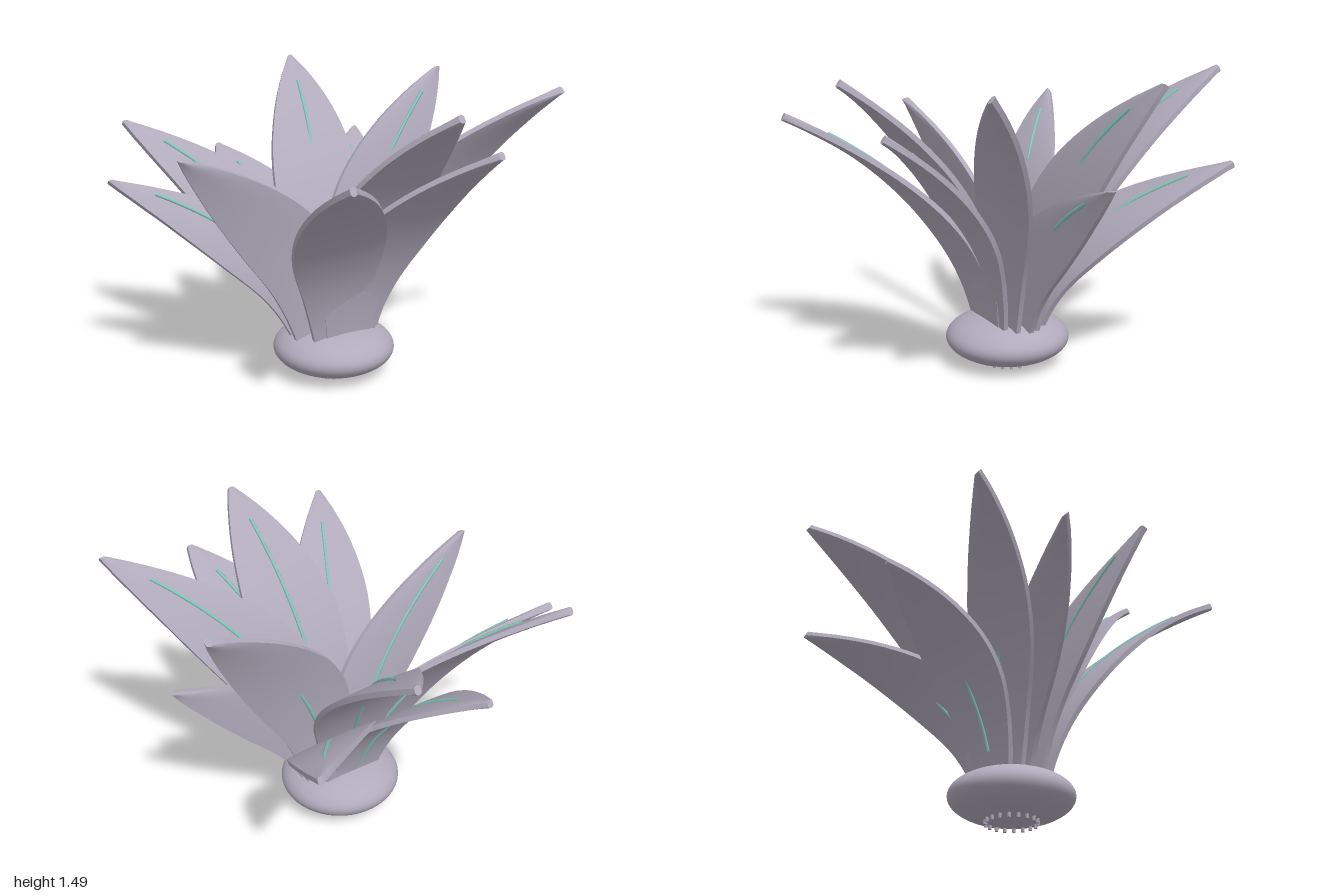
import * as THREE from 'three';
import { toCreasedNormals } from 'three/addons/utils/BufferGeometryUtils.js';

const CENTRE = new THREE.Vector3(0.035, 0, 0.04);
const LEAVES = 12, GOLDEN = THREE.MathUtils.degToRad(137.5);
const SIDE = new THREE.Vector3(1, 0, 0); // every blade spreads along x

// half width of a blade from base to tip
const WIDTH = new THREE.CatmullRomCurve3(
  [[0, 0.12], [0.2, 0.18], [0.42, 0.245], [0.6, 0.24], [0.78, 0.175], [0.92, 0.085], [1, 0.015]]
    .map(([t, w]) => new THREE.Vector3(t, w, 0)));
const widthAt = (t) => {
  let lo = 0, hi = 1;
  for (let k = 0; k < 20; k++) {
    const m = (lo + hi) / 2;
    if (WIDTH.getPoint(m).x < t) lo = m; else hi = m;
  }
  return WIDTH.getPoint(lo).y;
};

// arching centre line that leaves the bulb steeply and bends outward
function leafCurve(angle, reach, height) {
  const at = (r, y) => new THREE.Vector3(Math.cos(angle) * r, y, Math.sin(angle) * r).add(CENTRE);
  return new THREE.QuadraticBezierCurve3(
    at(0.115, 0.21), at(0.2, 0.22 + 0.62 * (height - 0.22)), at(reach, height));
}

const faceNormal = (curve, t) => SIDE.clone().cross(curve.getTangent(t)).normalize();

// blade swept along the curve with a thin lens section and blunt edges
function bladeGeometry(curve) {
  const rows = 28, across = 8, section = [];
  for (let k = 0; k <= across; k++) {
    const u = 1 - (2 * k) / across;
    section.push([u, 0.012 + 0.008 * (1 - u * u)]);
  }
  for (let k = across; k >= 0; k--) section.push([section[k][0], -section[k][1]]);
  const n = section.length, pos = [], index = [];
  for (let i = 0; i <= rows; i++) {
    const t = i / rows, c = curve.getPoint(t), w = widthAt(t), normal = faceNormal(curve, t);
    for (const [u, h] of section) {
      const p = c.clone().addScaledVector(SIDE, u * w).addScaledVector(normal, h);
      pos.push(p.x, p.y, p.z);
    }
  }
  for (let i = 0; i < rows; i++) {
    for (let j = 0; j < n; j++) {
      const a = i * n + j, b = i * n + (j + 1) % n;
      index.push(a, a + n, b, b, a + n, b + n);
    }
  }
  // end caps
  const last = rows * n;
  for (let j = 1; j < n - 1; j++) {
    index.push(0, j, j + 1);
    index.push(last, last + j + 1, last + j);
  }
  const geo = new THREE.BufferGeometry();
  geo.setAttribute('position', new THREE.Float32BufferAttribute(pos, 3));
  geo.setIndex(index);
  return toCreasedNormals(geo, 0.7);
}

// slim rib; on the rear leaves it passes through the blade from back to front
function ribGeometry(curve, rear) {
  const pts = [];
  for (let k = 0; k <= 14; k++) {
    const t = 0.12 + (0.76 * k) / 14;
    const off = rear ? THREE.MathUtils.lerp(-0.022, 0.022, THREE.MathUtils.smoothstep(t, 0.35, 0.75)) : -0.02;
    pts.push(curve.getPoint(t).addScaledVector(faceNormal(curve, t), off));
  }
  return new THREE.TubeGeometry(new THREE.CatmullRomCurve3(pts), 32, 0.009, 6);
}

export function createModel() {
  const model = new THREE.Group();
  const skin = new THREE.MeshStandardMaterial({ color: 0xb0aabb });
  skin.name = 'lavender grey';
  const teal = new THREE.MeshStandardMaterial({ color: 0x86c8bc });
  teal.name = 'pale teal';

  const add = (parent, name, geo, mat) => {
    const mesh = new THREE.Mesh(geo, mat);
    mesh.name = name;
    parent.add(mesh);
    return mesh;
  };

  // flattened bulb
  const bulb = add(model, 'bulb', new THREE.SphereGeometry(1, 48, 32), skin);
  bulb.scale.set(0.313, 0.128, 0.313);
  bulb.position.copy(CENTRE).setY(0.138);

  // ring of root stubs under the bulb
  const roots = new THREE.Group();
  roots.name = 'roots';
  for (let i = 0; i < 18; i++) {
    const a = (i / 18) * Math.PI * 2;
    const stub = add(roots, 'rootStub', new THREE.CylinderGeometry(0.012, 0.009, 0.04, 6), skin);
    stub.position.set(Math.cos(a) * 0.128, 0.02, Math.sin(a) * 0.128).add(CENTRE);
  }
  model.add(roots);

  // spiral of leaves in three heights and two reaches
  for (let i = 0; i < LEAVES; i++) {
    const angle = -GOLDEN * i;
    const curve = leafCurve(angle, [0.885, 1.08][i % 2], [1.05, 1.26, 1.47][i % 3]);
    const leaf = new THREE.Group();
    leaf.name = 'leaf';
    add(leaf, 'blade', bladeGeometry(curve), skin);
    add(leaf, 'rib', ribGeometry(curve, Math.sin(angle) < 0.01), teal);
    model.add(leaf);
  }
  return model;
}
